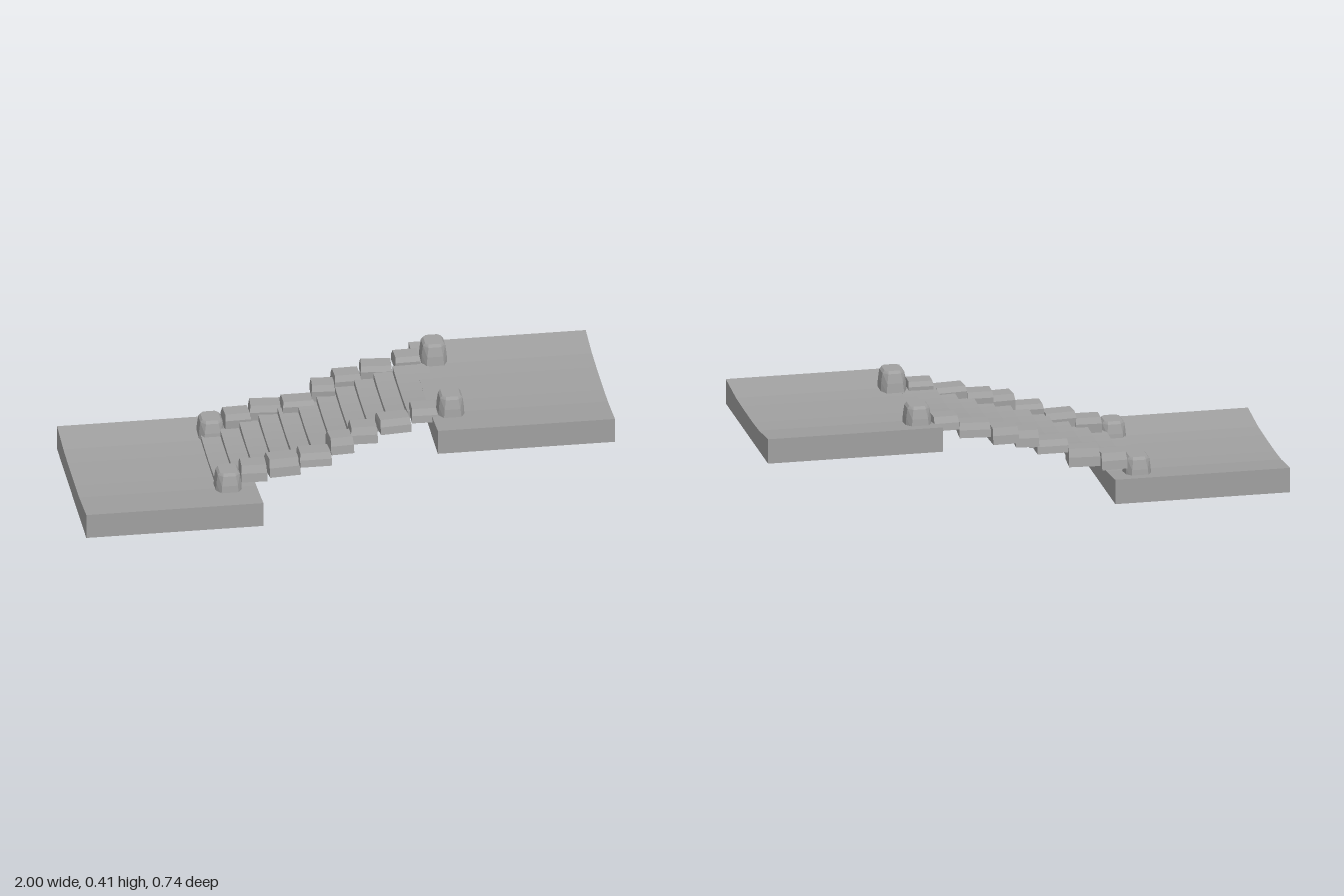
import * as THREE from 'three';
import { ConvexGeometry } from 'three/addons/geometries/ConvexGeometry.js';

const material = new THREE.MeshStandardMaterial({ color: 0xa0a0a0, flatShading: true });

function add(parent, name, geometry) {
  const mesh = new THREE.Mesh(geometry, material);
  mesh.name = name;
  parent.add(mesh);
  return mesh;
}

// Extrudes a closed [z, y] outline along x from x0 to x1
function extrudeAlongX(outline, x0, x1) {
  const shape = new THREE.Shape(outline.map(([z, y]) => new THREE.Vector2(-z, y)));
  const geometry = new THREE.ExtrudeGeometry(shape, { depth: x1 - x0, bevelEnabled: false });
  return geometry.rotateY(Math.PI / 2).translate(x0, 0, 0);
}

// Ground slab with a broad shallow hollow along its middle
function slab(x0, x1, y) {
  const top = [[0.37, 0.096], [0.19, 0.079], [0.09, 0.077], [0, 0.076],
    [-0.1, 0.076], [-0.21, 0.079], [-0.37, 0.096]];
  const outline = [[-0.37, 0], [0.37, 0], ...top];
  return extrudeAlongX(outline.map(([z, h]) => [z, h + y]), x0, x1);
}

// Thin tread with a dished top
function tread(x0, x1, top) {
  const outline = [[-0.21, top - 0.027], [0.17, top - 0.027]];
  for (let i = 0; i <= 6; i++) {
    const t = i / 6;
    outline.push([0.17 - 0.38 * t, top - 0.009 * Math.sin(Math.PI * t)]);
  }
  return extrudeAlongX(outline, x0, x1);
}

// Bowed corner post with chamfered corners, base centred on the origin
function post() {
  // height, half size in x and z, chamfer in x and z
  const rings = [[0, 0.049, 0.064, 0.016, 0.033], [0.035, 0.047, 0.059, 0.017, 0.03],
    [0.07, 0.042, 0.049, 0.018, 0.022], [0.08, 0.034, 0.04, 0.012, 0.013]];
  const points = [];
  for (const [y, a, b, ca, cb] of rings) {
    for (const sx of [-1, 1]) {
      for (const sz of [-1, 1]) {
        points.push(new THREE.Vector3(sx * a, y, sz * (b - cb)));
        points.push(new THREE.Vector3(sx * (a - ca), y, sz * b));
      }
    }
  }
  return new ConvexGeometry(points);
}

// Kerb stone: sloped outer side, chamfered upper edges, top slightly shorter
function kerbStone(length, height, width, side) {
  const section = [[-0.5, 0, 1], [0.5, 0, 1], [0.44, 0.55, 1], [0.28, 1, 0.95], [-0.36, 1, 0.95], [-0.5, 0.65, 1]];
  const points = [];
  for (const [w, h, l] of section) {
    for (const s of [-0.5, 0.5]) {
      points.push(new THREE.Vector3(s * l * length, h * height, side * w * width));
    }
  }
  return new ConvexGeometry(points);
}

export function createModel() {
  const model = new THREE.Group();
  model.name = 'steppedBridge';

  add(model, 'lowerSlab', slab(-1, -0.33, 0));
  add(model, 'upperSlab', slab(0.33, 1, 0.253));

  // Flight of overlapping treads; the last one runs on into the upper slab
  const steps = new THREE.Group();
  steps.name = 'steps';
  model.add(steps);
  const count = 11, pitch = 0.0725;
  for (let i = 0; i < count; i++) {
    const x = -0.48 + i * pitch;
    const end = i === count - 1 ? 0.38 : x + pitch + 0.008;
    add(steps, 'tread', tread(x, end, 0.098 + 0.0238 * i));
  }

  // Posts at the four corners of the flight
  const posts = new THREE.Group();
  posts.name = 'posts';
  model.add(posts);
  for (const [x, y] of [[-0.437, 0.077], [0.405, 0.335]]) {
    for (const z of [0.182, -0.255]) {
      // The base is sunk a little so that it never floats over the hollow
      add(posts, 'post', post()).position.set(x, y - 0.002, z);
    }
  }

  // Uneven kerb stones: x0, x1, bottom, top, front z centre, back z centre, yaw
  const kerbs = new THREE.Group();
  kerbs.name = 'kerbs';
  model.add(kerbs);
  const stones = [
    [-0.39, -0.292, 0.115, 0.175, 0.18, -0.255, -0.04],
    [-0.29, -0.172, 0.135, 0.2, 0.19, -0.258, 0.08],
    [-0.175, -0.055, 0.182, 0.23, 0.22, -0.217, 0],
    [-0.06, 0.028, 0.22, 0.28, 0.207, -0.237, 0.07],
    [0.025, 0.125, 0.245, 0.305, 0.183, -0.258, -0.03],
    [0.13, 0.248, 0.28, 0.332, 0.184, -0.262, 0.09],
    [0.255, 0.35, 0.315, 0.364, 0.18, -0.259, -0.03],
  ];
  for (const [x0, x1, y0, y1, front, back, yaw] of stones) {
    for (const [z, side] of [[front, 1], [back, -1]]) {
      const stone = add(kerbs, 'kerbStone', kerbStone(x1 - x0, y1 - y0, 0.1, side));
      stone.position.set((x0 + x1) / 2, y0, z);
      stone.rotation.y = side * yaw;
    }
  }
  return model;
}
